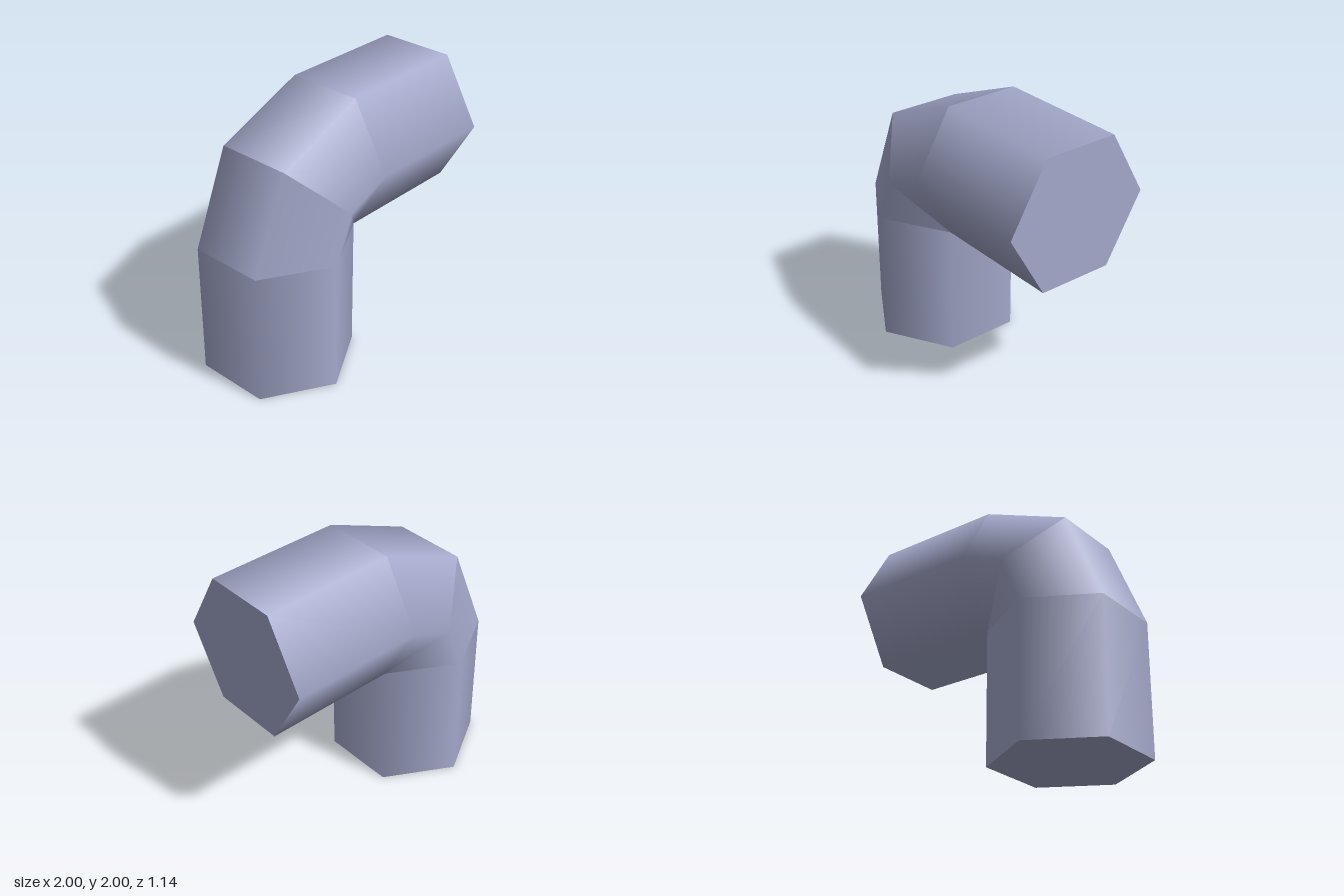
import * as THREE from 'three';

const SIDES = 6;
const R = 0.568;                                  // corner radius of the pipe
const APOTHEM = R * Math.cos(Math.PI / SIDES);    // centre to flat side
const PIVOT = { x: -0.016, y: 1.016 };            // inner corner of the bend
const LENGTH = 1.016;                             // length of the straight pipes

// Corner k of a hexagonal ring swung about the pivot by angle a, then shifted
function ringPoint(k, { a, dx = 0, dy = 0 }) {
  const t = Math.PI / 6 + (k / SIDES) * Math.PI * 2;
  const rad = APOTHEM + R * Math.cos(t);
  return [PIVOT.x - rad * Math.cos(a) + dx, PIVOT.y + rad * Math.sin(a) + dy, R * Math.sin(t)];
}

// Smooth shaded pipe wall between two rings
function wall(name, from, to, material) {
  const position = [], normal = [], index = [];
  const mid = (from.a + to.a) / 2;
  for (let k = 0; k <= SIDES; k++) {
    const t = Math.PI / 6 + (k / SIDES) * Math.PI * 2;
    for (const ring of [from, to]) {
      position.push(...ringPoint(k, ring));
      normal.push(-Math.cos(t) * Math.cos(mid), Math.cos(t) * Math.sin(mid), Math.sin(t));
    }
    if (k < SIDES) {
      const i = k * 2;
      index.push(i, i + 2, i + 3, i, i + 3, i + 1);
    }
  }
  const geometry = new THREE.BufferGeometry();
  geometry.setAttribute('position', new THREE.Float32BufferAttribute(position, 3));
  geometry.setAttribute('normal', new THREE.Float32BufferAttribute(normal, 3));
  geometry.setIndex(index);
  const mesh = new THREE.Mesh(geometry, material);
  mesh.name = name;
  return mesh;
}

export function createModel() {
  const group = new THREE.Group();
  group.name = 'pipeElbow';
  const paint = new THREE.MeshStandardMaterial({ color: 0xa4a9cb });
  paint.name = 'pale blue grey';

  // Rings from the foot, around the bend, to the open arm
  const foot = { a: 0, dy: -LENGTH };
  const bendStart = { a: 0 };
  const bendMiddle = { a: Math.PI / 4 };
  const bendEnd = { a: Math.PI / 2 };
  const armEnd = { a: Math.PI / 2, dx: LENGTH };
  group.add(
    wall('uprightPipe', foot, bendStart, paint),
    wall('lowerBend', bendStart, bendMiddle, paint),
    wall('upperBend', bendMiddle, bendEnd, paint),
    wall('horizontalPipe', bendEnd, armEnd, paint),
  );

  // Flat end caps
  const bottomCap = new THREE.Mesh(
    new THREE.CircleGeometry(R, SIDES, Math.PI / 2).rotateX(Math.PI / 2), paint);
  bottomCap.name = 'bottomCap';
  bottomCap.position.set(PIVOT.x - APOTHEM, PIVOT.y - LENGTH, 0);
  const sideCap = new THREE.Mesh(
    new THREE.CircleGeometry(R, SIDES).rotateY(Math.PI / 2), paint);
  sideCap.name = 'sideCap';
  sideCap.position.set(PIVOT.x + LENGTH, PIVOT.y + APOTHEM, 0);
  group.add(bottomCap, sideCap);

  return group;
}
